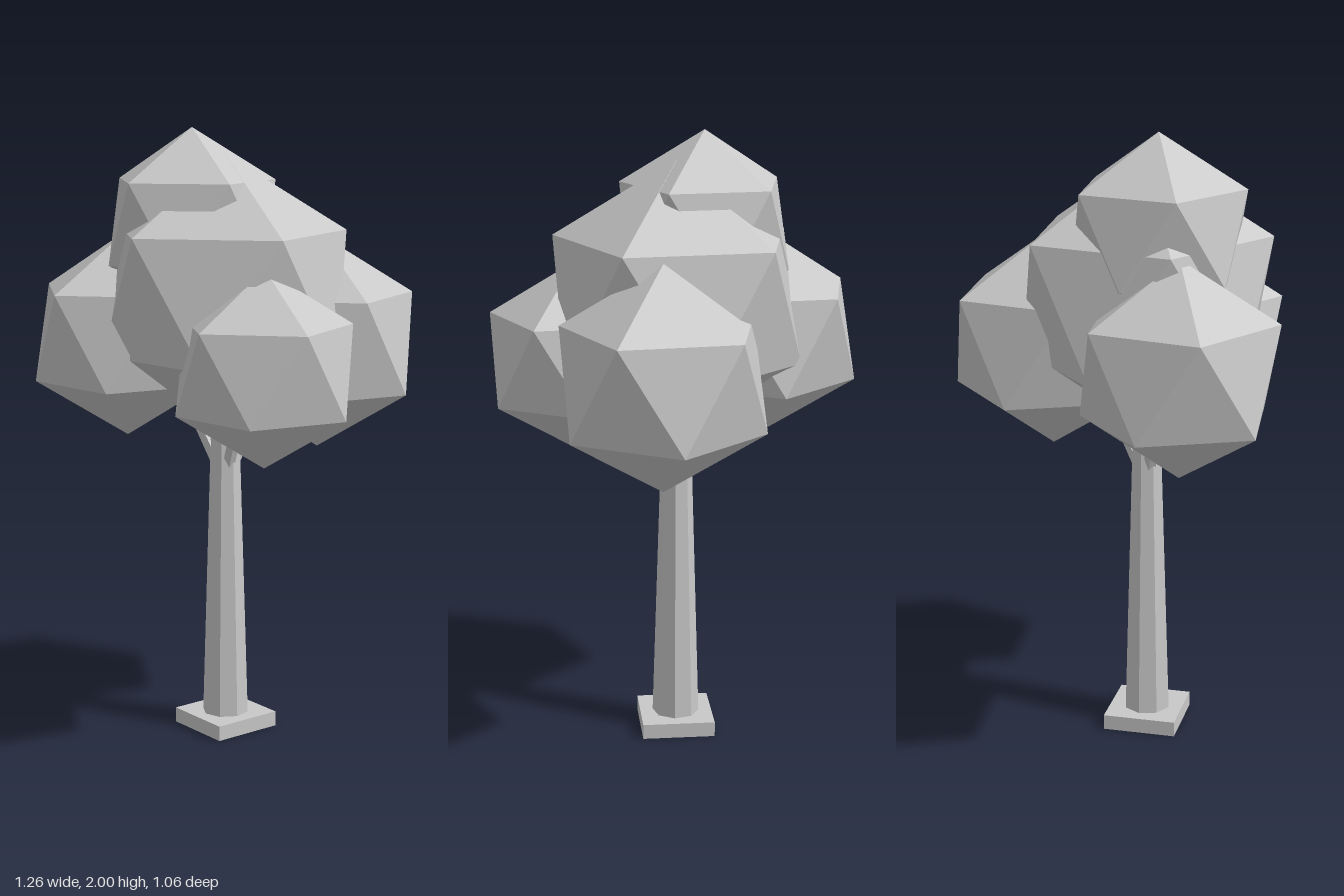
import * as THREE from 'three';

const grey = new THREE.MeshStandardMaterial({ color: 0xc8c8c8 });
grey.name = 'pale grey';

const TX = -0.02, TZ = -0.062; // trunk axis

// facet a geometry so every face has its own normal
function faceted(geo) {
  const g = geo.index ? geo.toNonIndexed() : geo;
  g.computeVertexNormals();
  return g;
}

function part(name, geo) {
  const mesh = new THREE.Mesh(faceted(geo), grey);
  mesh.name = name;
  return mesh;
}

// icosahedron standing on a vertex, upper ring pointing to +x
function leafClump(name, x, y, z, r) {
  const geo = new THREE.IcosahedronGeometry(r, 0);
  geo.rotateZ(-Math.atan(2 / (1 + Math.sqrt(5))));
  const mesh = part(name, geo);
  mesh.position.set(x, y, z);
  return mesh;
}

// straight stick between two points
function branch(name, from, to, r0, r1) {
  const dir = to.clone().sub(from);
  const mesh = part(name, new THREE.CylinderGeometry(r1, r0, dir.length(), 5));
  mesh.position.copy(from).addScaledVector(dir, 0.5);
  mesh.quaternion.setFromUnitVectors(new THREE.Vector3(0, 1, 0), dir.normalize());
  return mesh;
}

export function createModel() {
  const tree = new THREE.Group();
  tree.name = 'tree';

  // square base slab, turned slightly
  const slab = part('baseSlab', new THREE.CylinderGeometry(0.17, 0.17, 0.05, 4));
  slab.position.set(TX, 0.025, TZ);
  slab.rotation.y = -Math.PI / 12;
  tree.add(slab);

  // tapered eight-sided trunk
  const trunk = part('trunk', new THREE.CylinderGeometry(0.046, 0.078, 1.06, 8));
  trunk.position.set(TX, 0.57, TZ);
  trunk.rotation.y = Math.PI / 8;
  tree.add(trunk);

  // crown
  const clumps = [
    ['middleLeaves', -0.02, 1.47, -0.063, 0.447],
    ['topLeaves', -0.12, 1.695, -0.112, 0.305],
    ['leftLeaves', 0.308, 1.292, -0.165, 0.358],
    ['rightLeaves', -0.325, 1.318, -0.24, 0.341],
    ['frontLeaves', 0.056, 1.267, 0.265, 0.312],
  ];
  for (const c of clumps) tree.add(leafClump(...c));

  // a branch into each of the three side clumps
  for (const [name, x, , z] of clumps.slice(2)) {
    const out = new THREE.Vector3(x - TX, 0, z - TZ).setLength(0.24);
    const from = new THREE.Vector3(TX, 0.85, TZ);
    const to = new THREE.Vector3(TX, 1.33, TZ).add(out);
    tree.add(branch(name.replace('Leaves', 'Branch'), from, to, 0.022, 0.018));
  }
  // the lower clump tips taper to -x on the right side, as the icosahedra do
  return tree;
}
